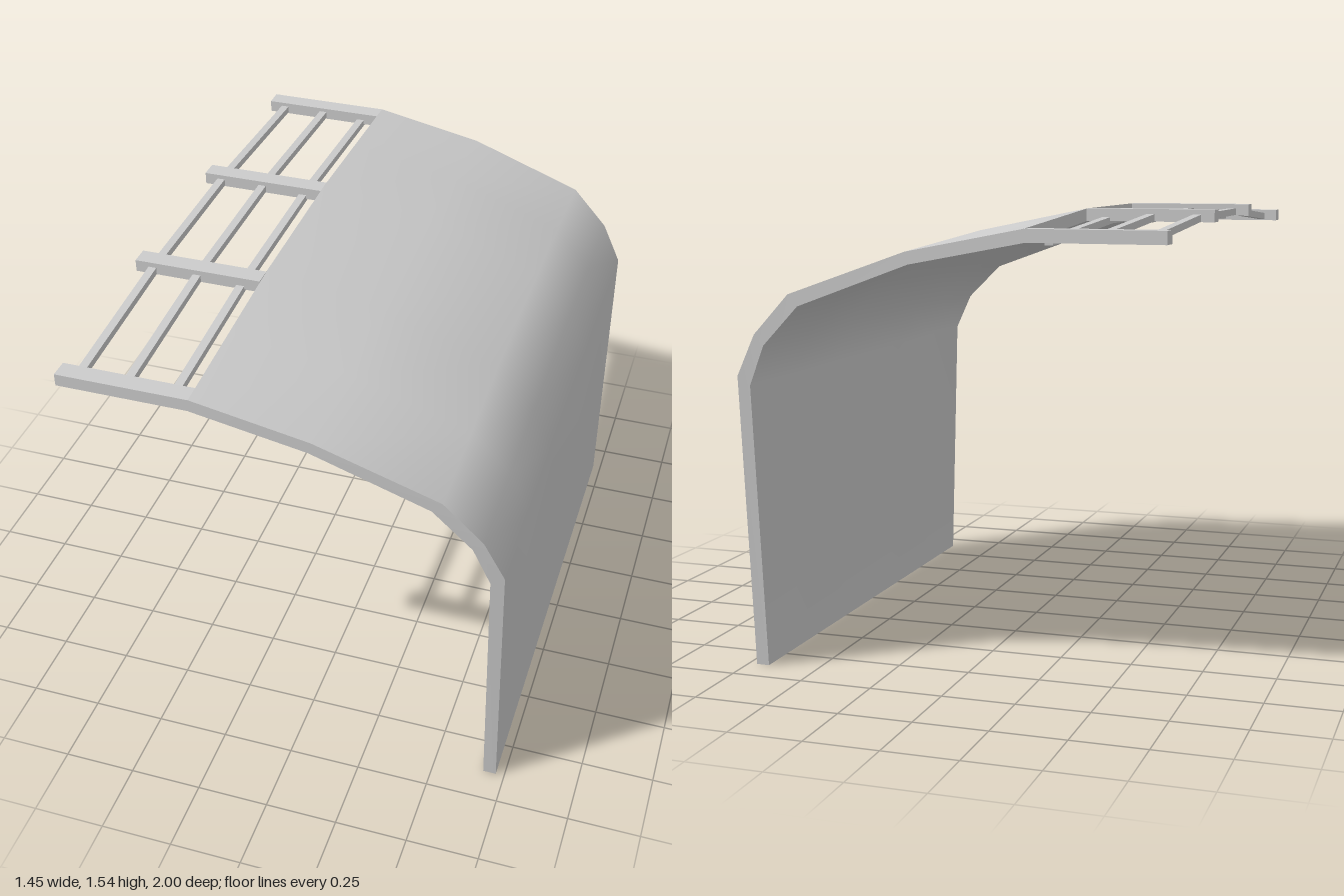
import * as THREE from 'three';
import { mergeGeometries } from 'three/addons/utils/BufferGeometryUtils.js';

const material = new THREE.MeshStandardMaterial({ color: 0xcccccc });

// Smooth sheet through rows of points; it faces (column direction) x (row direction)
function sheet(rows) {
  const n = rows[0].length, index = [];
  for (let i = 0; i < rows.length - 1; i++) {
    for (let j = 0; j < n - 1; j++) {
      const a = i * n + j, b = a + 1, c = a + n, d = c + 1;
      index.push(a, b, c, b, d, c);
    }
  }
  const geometry = new THREE.BufferGeometry();
  geometry.setAttribute('position', new THREE.Float32BufferAttribute(rows.flat(2), 3));
  geometry.setIndex(index);
  geometry.computeVertexNormals();
  return geometry;
}

// Curved roof and wall panel: the roof sags towards both ends, the wall narrows downwards
function createShell() {
  const outer = [[-0.28, 1.54], [0.11, 1.46], [0.52, 1.31], [0.65, 1.16], [0.72, 1.005], [0.72, 0]];
  const inner = [[-0.28, 1.497], [0.10, 1.42], [0.487, 1.272], [0.617, 1.125], [0.675, 0.975], [0.675, 0]];
  const sag = [0.04, 0.036, 0.03, 0.015, 0, 0];
  const stations = [-1, -0.65, -0.3, 0.3, 0.65, 1];

  const surface = (profile) => profile.map(([x, y], i) => {
    const halfWidth = Math.min(1, 0.885 + 0.077 * outer[i][1]);
    return stations.map((s) => {
      const drop = sag[i] * Math.max(0, (Math.abs(s) - 0.3) / 0.7);
      return [x, y - drop, s * halfWidth];
    });
  });
  const top = surface(outer), under = surface(inner);
  const last = stations.length - 1, end = outer.length - 1;

  const geometry = mergeGeometries([
    sheet(top),
    sheet(under.map((row) => [...row].reverse())),
    sheet(top.map((row, i) => [row[last], under[i][last]])),
    sheet(top.map((row, i) => [under[i][0], row[0]])),
    sheet([under[0], top[0]]),
    sheet([top[end], under[end]]),
  ]);
  const mesh = new THREE.Mesh(geometry, material);
  mesh.name = 'curvedShell';
  return mesh;
}

// Square bar between two points
function bar(name, from, to, width, height) {
  const a = new THREE.Vector3(...from), b = new THREE.Vector3(...to);
  const mesh = new THREE.Mesh(new THREE.BoxGeometry(width, height, a.distanceTo(b)), material);
  mesh.position.copy(a).add(b).multiplyScalar(0.5);
  mesh.lookAt(b);
  mesh.name = name;
  return mesh;
}

export function createModel() {
  const model = new THREE.Group();
  model.name = 'shelter';
  model.add(createShell());

  // Open lattice: beams continuing the roof, lower at the two ends
  const lattice = new THREE.Group();
  lattice.name = 'roofLattice';
  const beams = [[-0.968, 1.479], [-0.28, 1.519], [0.345, 1.519], [0.968, 1.479]];
  for (const [z, y] of beams) {
    lattice.add(bar('beam', [-0.725, y, z], [-0.28, y, z], 0.064, 0.042));
  }

  // Thin rods running from beam to beam
  for (const [x, lower] of [[-0.665, 0], [-0.505, 0], [-0.35, 0.012]]) {
    for (let i = 0; i < beams.length - 1; i++) {
      const [z0, y0] = beams[i], [z1, y1] = beams[i + 1];
      const offset = 0.006 + lower;
      lattice.add(bar('rod', [x, y0 - offset, z0], [x, y1 - offset, z1], 0.028, 0.024));
    }
  }
  model.add(lattice);
  return model;
}
